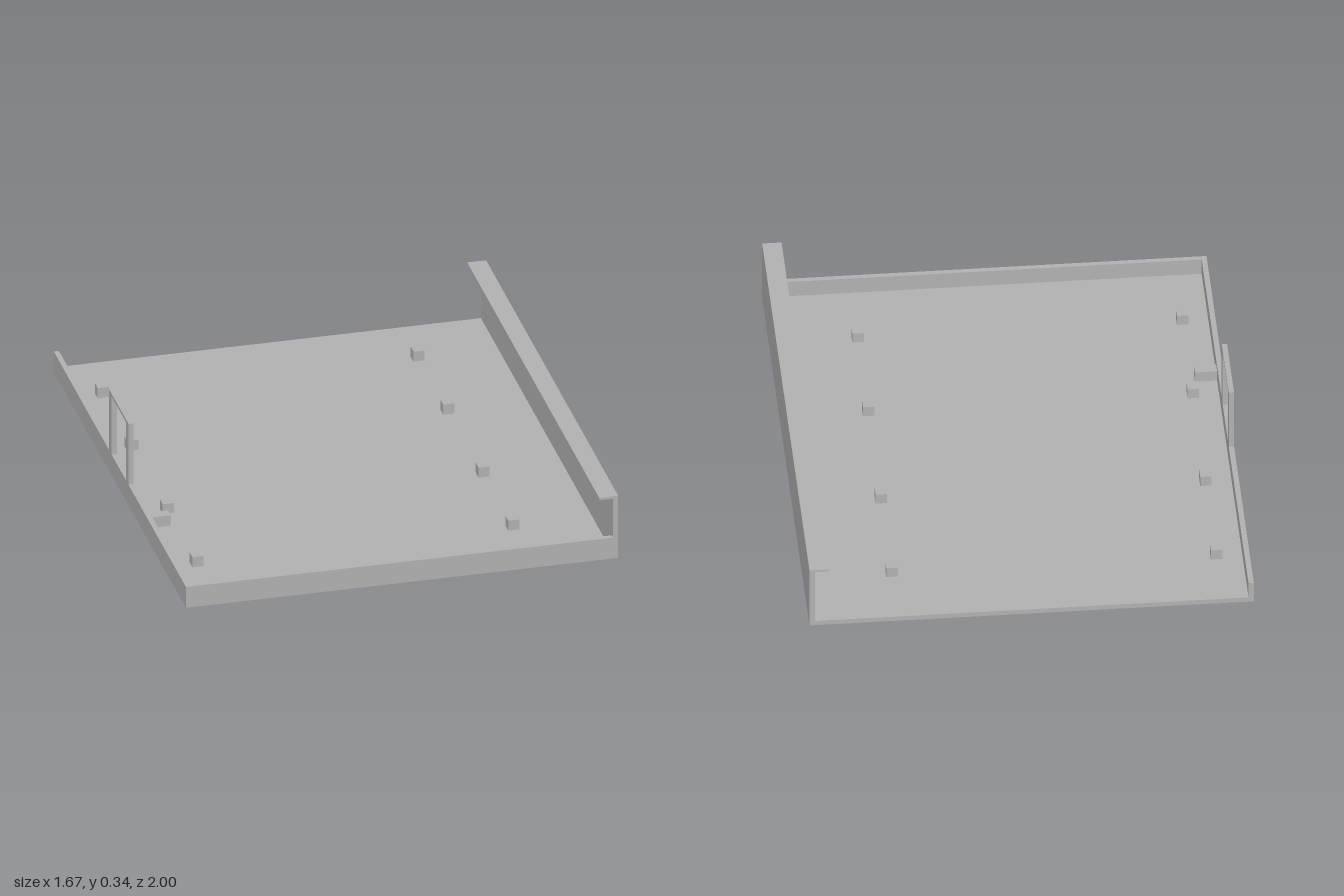
import * as THREE from 'three';

export function createModel() {
  const group = new THREE.Group();
  const grey = new THREE.MeshStandardMaterial({ color: 0xb2b2b2 });
  grey.name = 'grey';

  const add = (name, geometry) => {
    const mesh = new THREE.Mesh(geometry, grey);
    mesh.name = name;
    group.add(mesh);
    return mesh;
  };

  // Box given by its lower and upper limits on each axis
  const box = (name, [x0, x1], [y0, y1], [z0, z1]) => {
    const mesh = add(name, new THREE.BoxGeometry(x1 - x0, y1 - y0, z1 - z0));
    mesh.position.set((x0 + x1) / 2, (y0 + y1) / 2, (z0 + z1) / 2);
    return mesh;
  };

  const X = 0.833, T = 0.02, RIM = 0.087, TOP = 0.26;

  // Floor, side walls and lip form one cross-section, open at the back
  const section = new THREE.Shape([
    [-X, 0], [X, 0], [X, TOP], [0.76, TOP], [0.76, TOP - 0.01], [X - T, TOP - 0.01],
    [X - T, T], [-X + T, T], [-X + T, RIM], [-X, RIM],
  ].map(([x, y]) => new THREE.Vector2(x, y)));
  const tray = new THREE.ExtrudeGeometry(section, { depth: 2, bevelEnabled: false });
  add('tray', tray.translate(0, 0, -1));

  // Low front wall
  box('frontWall', [-X + T, X - T], [T, RIM], [1 - T, 1]);

  // Upright frame on the low side wall
  const frameX = [-X, -X + T];
  box('framePost', frameX, [RIM, 0.342], [-0.165, -0.125]);
  box('framePost', frameX, [RIM, 0.342], [0.092, 0.132]);
  box('frameBar', frameX, [0.33, 0.342], [-0.125, 0.092]);

  // Two rows of standoffs on the floor
  const half = 0.0215;
  for (const x of [-0.715, 0.502]) {
    for (const z of [-0.736, -0.286, 0.249, 0.699]) {
      box('standoff', [x - half, x + half], [T, 0.062], [z - half, z + half]);
    }
  }

  // Block against the low side wall
  box('sideBlock', [-X + T, -0.73], [T, 0.063], [0.327, 0.369]);

  return group;
}
